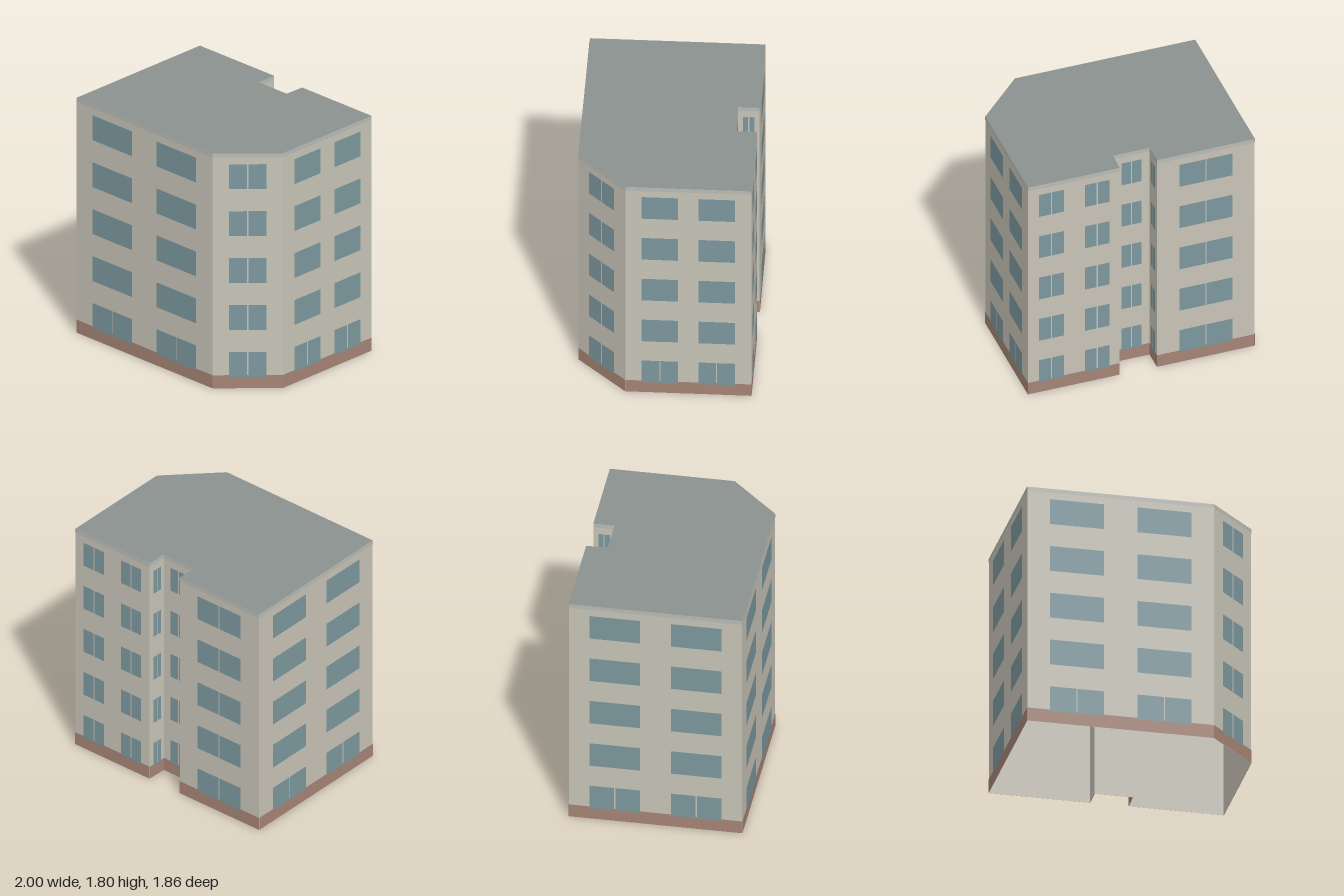
import * as THREE from 'three';

const HEIGHT = 1.797, FLOORS = 5, STOREY = HEIGHT / FLOORS;
const PLINTH = 0.1, CORNICE = 0.03, MULLION = 0.008;
const SILL = 0.088, WINDOW_HEIGHT = 0.19;

const paint = (color) => new THREE.MeshStandardMaterial({ color, roughness: 1, side: THREE.DoubleSide });

// Footprint corners [x, z]; each wall runs from its corner to the next one.
// windows: [centre, width] as fractions of the wall; split: sashes on every floor
const ONE = [[0.5, 0.54]];
const TWO = [[0.265, 0.29], [0.735, 0.29]];
const WALLS = [
  { name: 'backLeftWall', at: [-1, -0.17], windows: TWO, split: false },
  { name: 'backRightWall', at: [-0.04, -0.93], windows: ONE, split: true },
  { name: 'notchRearWall', at: [0.41, -0.365], windows: ONE, split: true },
  { name: 'notchInnerWall', at: [0.29, -0.27], windows: ONE, split: true },
  { name: 'notchFrontWall', at: [0.46, -0.055], windows: ONE, split: true },
  { name: 'rightWall', at: [0.58, -0.145], windows: [[0.255, 0.275], [0.755, 0.265]], split: true },
  { name: 'frontRightWall', at: [1, 0.385], windows: [[0.275, 0.29], [0.725, 0.29]], split: false },
  { name: 'frontWall', at: [0.31, 0.93], windows: ONE, split: true },
  { name: 'frontLeftWall', at: [-0.175, 0.875], windows: TWO, split: false },
];

export function createModel() {
  const model = new THREE.Group();
  model.name = 'apartmentBlock';
  const render = paint(0xc8c4b8), glass = paint(0x7c989e);
  const brick = paint(0xa58475), trim = paint(0xb9bcb6), slate = paint(0x8a918e);

  // Flat rectangle on a wall, from (x0, y0) to (x1, y1), lifted by z
  const panel = (parent, name, material, x0, x1, y0, y1, z) => {
    const mesh = new THREE.Mesh(new THREE.PlaneGeometry(x1 - x0, y1 - y0), material);
    mesh.position.set((x0 + x1) / 2, (y0 + y1) / 2, z);
    mesh.name = name;
    parent.add(mesh);
  };

  WALLS.forEach(({ name, at, windows, split }, i) => {
    const end = WALLS[(i + 1) % WALLS.length].at;
    const dx = end[0] - at[0], dz = end[1] - at[1];
    const length = Math.hypot(dx, dz);

    // Local x runs along the wall, local z points outwards
    const wall = new THREE.Group();
    wall.name = name;
    wall.position.set(end[0], 0, end[1]);
    wall.rotation.y = Math.atan2(dz, -dx);
    model.add(wall);

    panel(wall, 'wallFace', render, 0, length, 0, HEIGHT, 0);
    panel(wall, 'plinth', brick, 0, length, 0, PLINTH, 0.002);
    panel(wall, 'cornice', trim, 0, length, HEIGHT - CORNICE, HEIGHT, 0.002);

    // Windows, as one pane or two sashes with a thin gap
    for (let floor = 0; floor < FLOORS; floor++) {
      const y0 = SILL + floor * STOREY, y1 = y0 + WINDOW_HEIGHT;
      for (const [centre, width] of windows) {
        const mid = centre * length, half = (width * length) / 2;
        if (split || floor === 0) {
          panel(wall, 'windowSash', glass, mid - half, mid - MULLION / 2, y0, y1, 0.004);
          panel(wall, 'windowSash', glass, mid + MULLION / 2, mid + half, y0, y1, 0.004);
        } else {
          panel(wall, 'windowPane', glass, mid - half, mid + half, y0, y1, 0.004);
        }
      }
    }
  });

  // Flat roof over the footprint
  const outline = new THREE.Shape(WALLS.map(({ at: [x, z] }) => new THREE.Vector2(x, -z)));
  const roof = new THREE.Mesh(new THREE.ShapeGeometry(outline).rotateX(-Math.PI / 2), slate);
  roof.position.y = HEIGHT;
  roof.name = 'roof';
  model.add(roof);

  return model;
}
